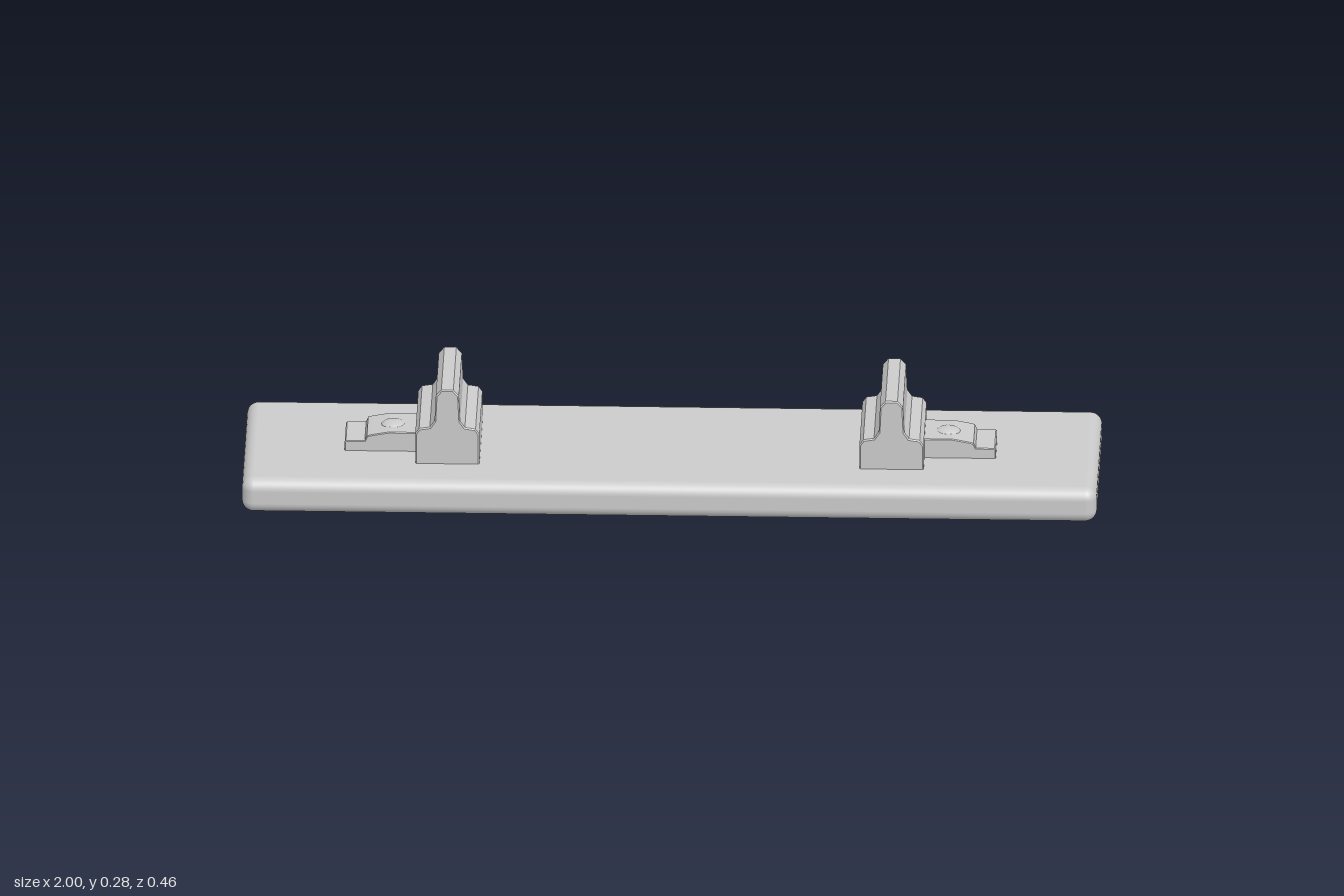
import * as THREE from 'three';
import { RoundedBoxGeometry } from 'three/addons/geometries/RoundedBoxGeometry.js';

const material = new THREE.MeshStandardMaterial({ color: 0xcccccc });
const flatMaterial = new THREE.MeshStandardMaterial({ color: 0xcccccc, flatShading: true });
const TOP = 0.086; // upper face of the base board

function addMesh(parent, name, geometry, mat = flatMaterial) {
  const mesh = new THREE.Mesh(geometry, mat);
  mesh.name = name;
  parent.add(mesh);
  return mesh;
}

// Extrude an x-y outline along z, centred on z = 0, with a small bevel
function extrudeProfile(points, depth, bevel) {
  const shape = new THREE.Shape(points.map(([x, y]) => new THREE.Vector2(x, y)));
  const geometry = new THREE.ExtrudeGeometry(shape, {
    depth: depth - 2 * bevel,
    bevelEnabled: true,
    bevelThickness: bevel,
    bevelSize: bevel,
    bevelOffset: -bevel,
    bevelSegments: 1,
  });
  return geometry.translate(0, 0, -depth / 2 + bevel);
}

// Stepped ridge: wide foot, sloped shoulders, narrow stem with chamfered top
function ridgeGeometry(lift) {
  const half = [
    [0.075, TOP - 0.02],
    [0.075, 0.147 + lift],
    [0.066, 0.16 + lift],
    [0.041, 0.164 + lift],
    [0.03, 0.18 + lift],
    [0.027, 0.245 + lift],
    [0.014, 0.26 + lift],
  ];
  const mirrored = half.map(([x, y]) => [-x, y]).reverse();
  return extrudeProfile([...half, ...mirrored], 0.244, 0.003);
}

// One holder: ridge plus a stepped tab with a rivet, the tab pointing to +x
function createHolder(name, lift) {
  const holder = new THREE.Group();
  holder.name = name;
  addMesh(holder, 'ridge', ridgeGeometry(lift));

  addMesh(holder, 'tab', extrudeProfile([
    [0.06, TOP - 0.01],
    [0.242, TOP - 0.01],
    [0.242, 0.108],
    [0.239, 0.111],
    [0.195, 0.112],
    [0.19, 0.124],
    [0.178, 0.127],
    [0.14, 0.134],
    [0.06, 0.134],
  ], 0.11, 0.002));

  // Shallow domed rivet head
  const dome = new THREE.SphereGeometry(0.03, 24, 8, 0, Math.PI * 2, 0, Math.PI / 2);
  dome.scale(1, 0.45, 1);
  addMesh(holder, 'rivet', dome, material).position.set(0.129, 0.127, 0);
  return holder;
}

export function createModel() {
  const model = new THREE.Group();
  model.name = 'boardWithHolders';

  // Base board with softened edges
  const base = new RoundedBoxGeometry(2, TOP, 0.464, 4, 0.028);
  addMesh(model, 'base', base, material).position.y = TOP / 2;

  // The two holders face outward; the one on the right is slightly taller
  const left = createHolder('leftHolder', 0);
  left.position.x = 0.517;
  const right = createHolder('rightHolder', 0.015);
  right.position.x = -0.522;
  right.rotation.y = Math.PI;
  model.add(left, right);
  return model;
}
